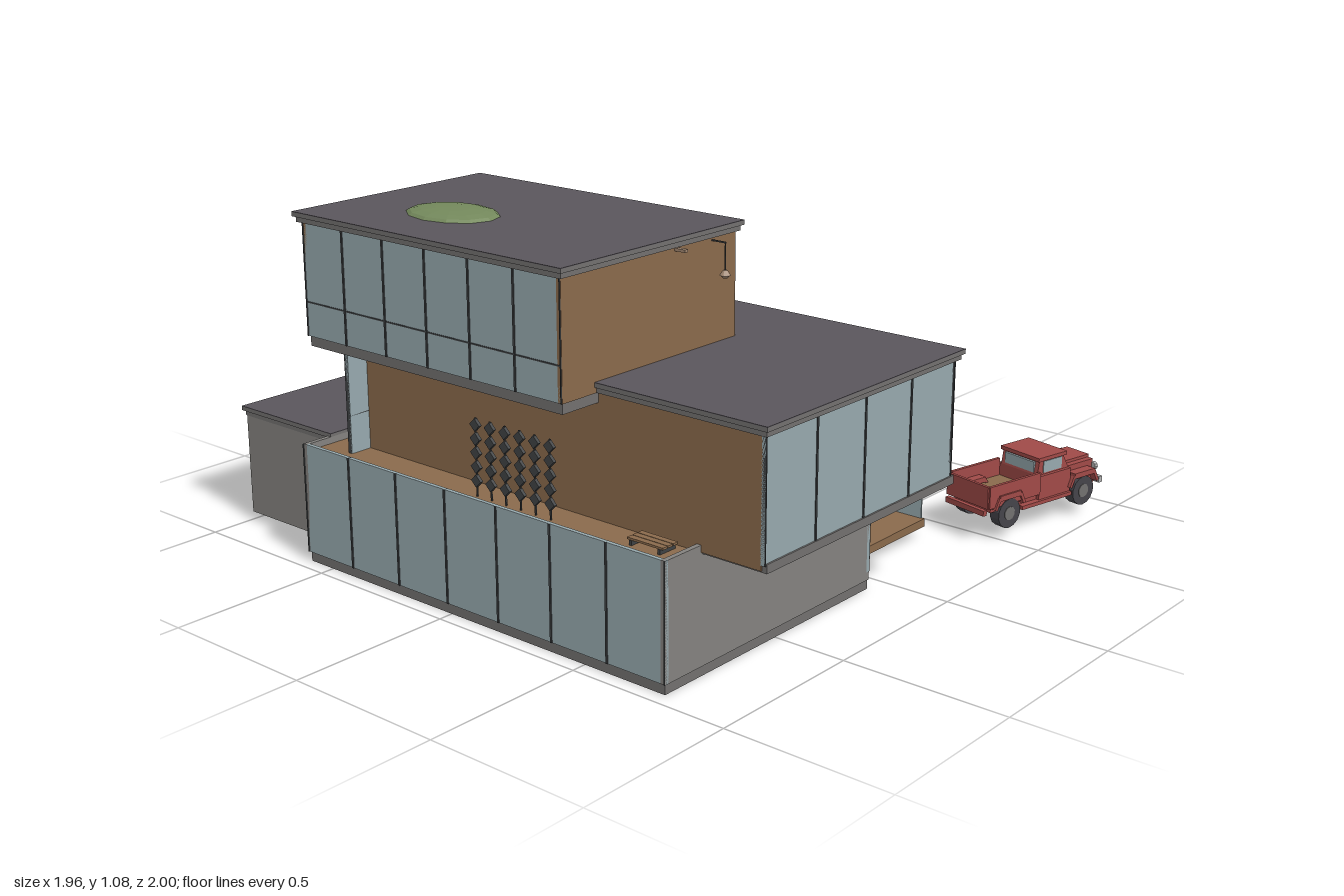
import * as THREE from 'three';

const mat = (color) => new THREE.MeshStandardMaterial({ color, flatShading: true });
const M = {
  glass: mat(0x97a9ae), wood: mat(0x8a6a4c), stone: mat(0x84827f), roof: mat(0x5a565c), trim: mat(0x72706f),
  frame: mat(0x3f4244), red: mat(0xa04a48), tyre: mat(0x45444a), chrome: mat(0xb4b4b4), green: mat(0x74895c), tan: mat(0xa08670),
};

// Box given by its limits along each axis
function box(parent, name, material, x0, x1, y0, y1, z0, z1) {
  const m = new THREE.Mesh(new THREE.BoxGeometry(x1 - x0, y1 - y0, z1 - z0), material);
  m.position.set((x0 + x1) / 2, (y0 + y1) / 2, (z0 + z1) / 2);
  m.name = name;
  parent.add(m);
  return m;
}

function cylinder(parent, name, material, rTop, rBottom, h, sides, x, y, z) {
  const m = new THREE.Mesh(new THREE.CylinderGeometry(rTop, rBottom, h, sides), material);
  m.position.set(x, y, z);
  m.name = name;
  parent.add(m);
  return m;
}

// Glazed wall along x or z; 'out' is the side it faces, 'band' the height of the cross bar
function glassWall(parent, name, axis, at, out, a, b, y0, y1, n, band) {
  const g = new THREE.Group();
  g.name = name;
  const put = (label, m, depth, p, q, r, s) => {
    const lo = Math.min(at - out * 0.012, at + out * depth), hi = Math.max(at - out * 0.012, at + out * depth);
    if (axis === 'x') box(g, label, m, p, q, r, s, lo, hi);
    else box(g, label, m, lo, hi, r, s, p, q);
  };
  put('pane', M.glass, 0, a, b, y0, y1);
  for (let i = 0; i <= n; i++) {
    const c = a + (b - a) * i / n;
    put('mullion', M.frame, 0.003, Math.max(a, c - 0.003), Math.min(b, c + 0.003), y0, y1);
  }
  if (band) put('crossBar', M.frame, 0.002, a, b, band - 0.002, band + 0.002);
  parent.add(g);
}

// Stepped roof slab with a grey edge and a dark top
function roof(parent, name, x0, x1, z0, z1, top, drop) {
  const g = new THREE.Group();
  g.name = name;
  box(g, 'lowerEdge', M.trim, x0 + 0.008, x1 - 0.008, top - drop, top - 0.01, z0 + 0.008, z1 - 0.008);
  box(g, 'upperEdge', M.trim, x0, x1, top - 0.014, top - 0.002, z0, z1);
  box(g, 'roofTop', M.roof, x0, x1, top - 0.002, top, z0, z1);
  parent.add(g);
}

function lamp(parent, x, top, bottom, z) {
  const g = new THREE.Group();
  g.name = 'hangingLamp';
  cylinder(g, 'cord', M.frame, 0.002, 0.002, top - bottom, 6, x, (top + bottom) / 2, z);
  cylinder(g, 'shade', M.tan, 0.006, 0.016, 0.014, 10, x, bottom, z);
  cylinder(g, 'bulb', M.tan, 0.016, 0.006, 0.009, 10, x, bottom - 0.011, z);
  parent.add(g);
}

function bench(parent, x, y, z, w, d) {
  const g = new THREE.Group();
  g.name = 'bench';
  for (let i = 0; i < 3; i++) box(g, 'slat', M.wood, x - w / 2 + i * w / 3 + 0.002, x - w / 2 + (i + 1) * w / 3, y + 0.014, y + 0.02, z - d / 2, z + d / 2);
  for (const s of [-1, 1]) box(g, 'leg', M.frame, x - w / 2, x + w / 2, y, y + 0.014, z + s * d * 0.4 - 0.004, z + s * d * 0.4 + 0.004);
  parent.add(g);
}

function groundFloor(house) {
  const g = new THREE.Group();
  g.name = 'groundFloor';
  box(g, 'foundation', M.trim, -0.955, -0.07, 0, 0.03, -0.595, 0.775);
  box(g, 'floor', M.wood, -0.95, -0.068, 0.03, 0.055, -0.49, 0.77);
  box(g, 'frontWall', M.stone, -0.96, -0.07, 0.03, 0.365, 0.765, 0.78);
  box(g, 'backWall', M.stone, -0.96, -0.07, 0.03, 0.365, -0.6, -0.585);
  box(g, 'terraceDeck', M.wood, -0.95, -0.075, 0.325, 0.345, -0.585, 0.765);
  glassWall(g, 'leftGlass', 'z', -0.96, -1, -0.6, 0.78, 0.03, 0.365, 7);
  glassWall(g, 'rightFrontGlass', 'z', -0.07, 1, 0.2, 0.78, 0.055, 0.345, 3);
  glassWall(g, 'rightBackGlass', 'z', -0.07, 1, -0.59, 0, 0.055, 0.365, 3);
  // Recessed entrance
  glassWall(g, 'entranceDoor', 'z', -0.17, 1, 0, 0.2, 0.055, 0.285, 2);
  box(g, 'doorHead', M.roof, -0.18, -0.165, 0.285, 0.345, 0, 0.2);
  for (const z of [-0.006, 0.2]) box(g, 'entranceSide', M.tan, -0.17, -0.071, 0.055, 0.335, z, z + 0.006);
  lamp(g, -0.1, 0.335, 0.27, 0.1);
  house.add(g);
}

function garage(house) {
  const g = new THREE.Group();
  g.name = 'garage';
  box(g, 'garageWalls', M.stone, -0.86, -0.07, 0.03, 0.35, -0.99, -0.59);
  box(g, 'garageDoor', M.wood, -0.075, -0.066, 0.03, 0.285, -0.94, -0.63);
  roof(g, 'garageRoof', -0.87, -0.06, -1, -0.585, 0.375, 0.03);
  house.add(g);
}

function middleFloor(house) {
  const g = new THREE.Group();
  g.name = 'middleFloor';
  box(g, 'floorSlab', M.trim, -0.815, 0.03, 0.34, 0.365, -0.495, 0.985);
  glassWall(g, 'frontGlass', 'x', 0.98, 1, -0.82, 0.02, 0.36, 0.705, 4);
  glassWall(g, 'rightGlass', 'z', 0.02, 1, -0.5, 0.98, 0.36, 0.705, 9, 0.465);
  glassWall(g, 'backGlass', 'x', -0.5, -1, -0.76, 0.02, 0.36, 0.705, 4);
  box(g, 'leftWall', M.wood, -0.82, -0.805, 0.345, 0.705, -0.5, 0.97);
  box(g, 'backPost', M.wood, -0.815, -0.76, 0.345, 0.705, -0.5, -0.485);
  glassWall(g, 'terraceScreen', 'x', -0.48, -1, -0.89, -0.82, 0.345, 0.67, 1, 0.46);
  roof(g, 'middleRoof', -0.84, 0.04, -0.52, 1, 0.73, 0.03);
  // Trellis on the side terrace
  const t = new THREE.Group();
  t.name = 'trellis';
  for (let i = 0; i < 6; i++) {
    const z = 0.06 + i * 0.055;
    box(t, 'upright', M.frame, -0.903, -0.899, 0.345, 0.57, z - 0.002, z + 0.002);
    for (let j = 0; j < 5; j++) {
      const knot = box(t, 'diamond', M.frame, -0.906, -0.896, 0.377 + j * 0.04, 0.403 + j * 0.04, z - 0.013, z + 0.013);
      knot.rotation.x = Math.PI / 4;
    }
  }
  g.add(t);
  bench(g, -0.87, 0.345, 0.66, 0.06, 0.12);
  bench(g, -0.17, 0.345, -0.545, 0.03, 0.05);
  house.add(g);
}

function topFloor(house) {
  const g = new THREE.Group();
  g.name = 'topFloor';
  box(g, 'floorSlab', M.trim, -0.955, -0.275, 0.67, 0.705, -0.545, 0.435);
  box(g, 'frontWall', M.wood, -0.96, -0.265, 0.7, 1.035, 0.425, 0.44);
  box(g, 'backWall', M.wood, -0.96, -0.265, 0.7, 1.035, -0.55, -0.535);
  glassWall(g, 'rightGlass', 'z', -0.265, 1, -0.549, 0.439, 0.7, 1.035, 6, 0.8);
  glassWall(g, 'leftGlass', 'z', -0.96, -1, -0.549, 0.439, 0.7, 1.035, 6, 0.8);
  roof(g, 'topRoof', -0.98, -0.25, -0.57, 0.46, 1.06, 0.03);
  // Planted mound on the roof
  const mound = new THREE.Mesh(new THREE.SphereGeometry(1, 12, 4, 0, Math.PI * 2, 0, Math.PI / 2), M.green);
  mound.scale.set(0.112, 0.02, 0.15);
  mound.position.set(-0.71, 1.06, -0.205);
  mound.name = 'roofGarden';
  g.add(mound);
  box(g, 'lampArm', M.frame, -0.367, -0.363, 1.018, 1.022, 0.44, 0.488);
  lamp(g, -0.365, 1.02, 0.937, 0.486);
  box(g, 'wallLight', M.tan, -0.522, -0.508, 1.018, 1.026, 0.44, 0.475);
  house.add(g);
}

function deck(house) {
  const g = new THREE.Group();
  g.name = 'frontDeck';
  box(g, 'deckBoards', M.wood, -0.02, 0.37, 0.035, 0.06, -0.5, 0.68);
  for (const [a, b] of [[-0.49, -0.1], [0.29, 0.67]]) {
    box(g, 'glassRailing', M.glass, 0.364, 0.369, 0.06, 0.165, a, b);
    box(g, 'handrail', M.frame, 0.363, 0.37, 0.162, 0.166, a, b);
  }
  for (let i = 0; i < 3; i++) box(g, 'step', M.stone, 0.37 + i * 0.033, 0.405 + i * 0.033, 0.04 - i * 0.006, 0.05 - i * 0.008, -0.05, 0.24);
  house.add(g);
}

// Pickup, built along x with its nose towards +x
function truck() {
  const g = new THREE.Group();
  g.name = 'pickup';
  box(g, 'chassis', M.red, -0.23, 0.23, 0.09, 0.115, -0.075, 0.075);
  box(g, 'bedFloor', M.wood, -0.245, -0.03, 0.11, 0.125, -0.08, 0.08);
  for (const s of [-1, 1]) box(g, 'bedSide', M.red, -0.25, -0.03, 0.11, 0.18, s * 0.086 - 0.005, s * 0.086 + 0.005);
  box(g, 'tailgate', M.red, -0.255, -0.245, 0.11, 0.18, -0.086, 0.086);
  box(g, 'cabBody', M.red, -0.03, 0.11, 0.09, 0.165, -0.086, 0.086);
  // Tapered cabin
  const s = new THREE.Shape([[-0.03, 0.165], [0.11, 0.165], [0.083, 0.212], [-0.022, 0.212]].map((p) => new THREE.Vector2(...p)));
  const cabin = new THREE.Mesh(new THREE.ExtrudeGeometry(s, { depth: 0.15, bevelEnabled: false }), M.red);
  cabin.position.z = -0.075;
  cabin.name = 'cabin';
  g.add(cabin);
  box(g, 'cabRoof', M.red, -0.03, 0.095, 0.21, 0.222, -0.08, 0.08);
  box(g, 'sideWindows', M.glass, -0.005, 0.077, 0.17, 0.207, -0.077, 0.077);
  box(g, 'rearWindow', M.glass, -0.031, -0.02, 0.172, 0.206, -0.06, 0.06);
  const shield = box(g, 'windscreen', M.glass, 0.095, 0.099, 0.167, 0.211, -0.065, 0.065);
  shield.rotation.z = 0.52;
  box(g, 'bonnet', M.red, 0.11, 0.235, 0.1, 0.163, -0.065, 0.065);
  box(g, 'bonnetRidge', M.red, 0.11, 0.238, 0.16, 0.172, -0.045, 0.045);
  box(g, 'grille', M.chrome, 0.232, 0.241, 0.115, 0.148, -0.055, 0.055);
  box(g, 'frontBumper', M.chrome, 0.24, 0.255, 0.088, 0.108, -0.09, 0.09);
  box(g, 'rearBumper', M.red, -0.265, -0.25, 0.088, 0.105, -0.08, 0.08);
  for (const z of [-0.075, 0.075]) {
    box(g, 'runningBoard', M.red, -0.11, 0.11, 0.078, 0.09, z - 0.02, z + 0.02);
    const light = cylinder(g, 'headlight', M.chrome, 0.013, 0.013, 0.012, 10, 0.237, 0.14, z * 0.9);
    light.rotation.z = Math.PI / 2;
    for (const x of [-0.165, 0.165]) {
      box(g, 'wingTop', M.red, x - 0.045, x + 0.045, 0.128, 0.145, z - 0.022, z + 0.022);
      for (const e of [-1, 1]) {
        const flare = box(g, 'wingEnd', M.red, x + e * 0.053 - 0.005, x + e * 0.053 + 0.005, 0.1, 0.14, z - 0.022, z + 0.022);
        flare.rotation.z = e * 0.45;
      }
      const wheel = cylinder(g, 'wheel', M.tyre, 0.047, 0.047, 0.036, 14, x, 0.08, z);
      const hub = cylinder(g, 'hub', M.trim, 0.022, 0.022, 0.04, 10, x, 0.08, z);
      wheel.rotation.x = hub.rotation.x = Math.PI / 2;
    }
  }
  g.position.set(0.71, 0, 0.825);
  g.rotation.y = -0.22;
  return g;
}

export function createModel() {
  const house = new THREE.Group();
  house.name = 'modernHouse';
  for (const build of [groundFloor, garage, middleFloor, topFloor, deck]) build(house);
  house.add(truck());
  return house;
}
